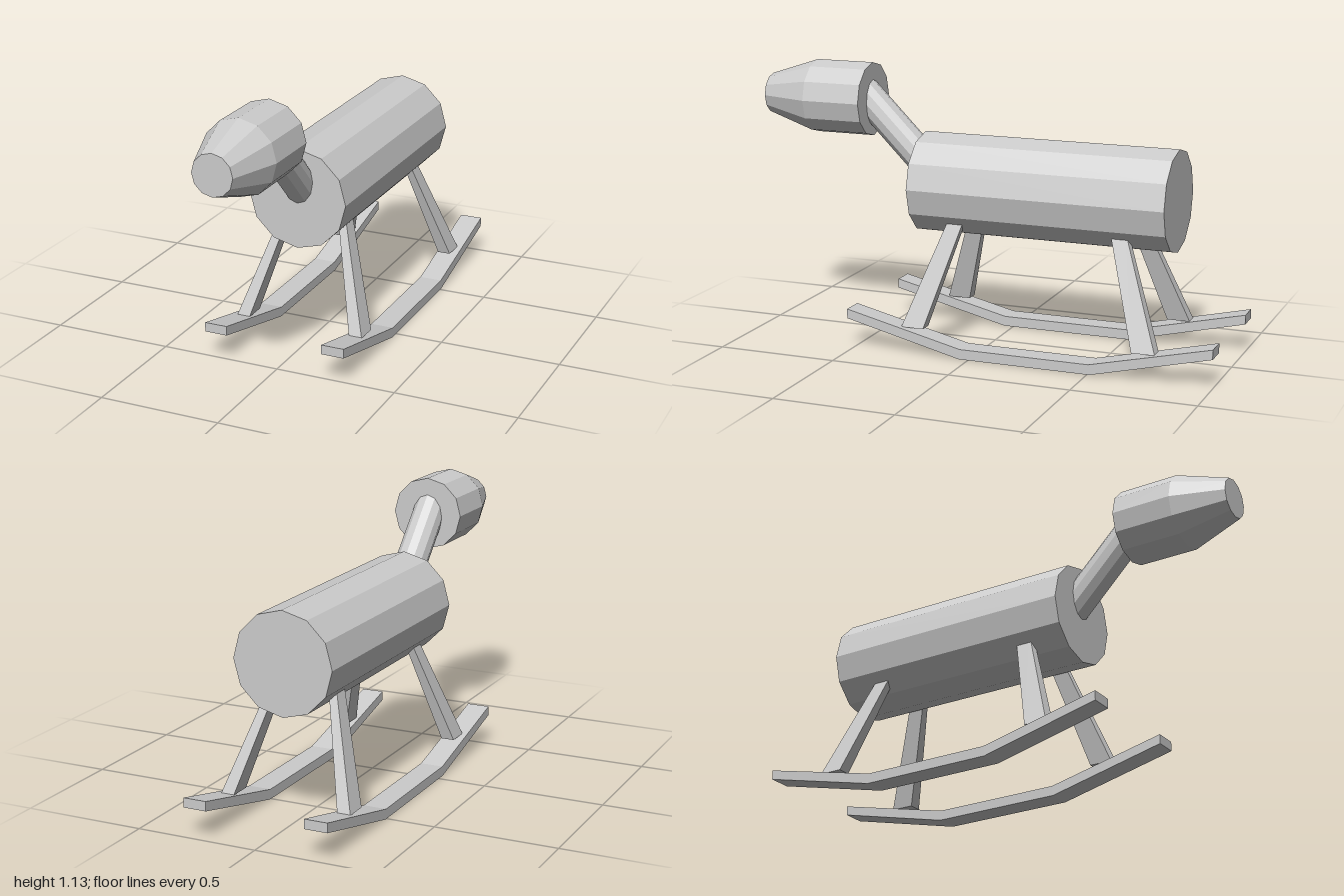
import * as THREE from 'three';

const material = new THREE.MeshStandardMaterial({ color: 0xcccccc, flatShading: true });

function add(parent, name, geometry) {
  const mesh = new THREE.Mesh(geometry, material);
  mesh.name = name;
  parent.add(mesh);
  return mesh;
}

// Twelve-sided drum lying along z
function drum(rFront, rBack, zFront, zBack, y) {
  return new THREE.CylinderGeometry(rFront, rBack, zFront - zBack, 12)
    .rotateX(Math.PI / 2)
    .translate(0, y, (zFront + zBack) / 2);
}

// Tapered post between two horizontal rectangles [x0, x1, z0, z1]
function post(bottom, top, yBottom, yTop) {
  const geometry = new THREE.BoxGeometry(1, 1, 1);
  const p = geometry.attributes.position;
  for (let i = 0; i < p.count; i++) {
    const upper = p.getY(i) > 0;
    const r = upper ? top : bottom;
    p.setXYZ(i, p.getX(i) < 0 ? r[0] : r[1], upper ? yTop : yBottom, p.getZ(i) < 0 ? r[2] : r[3]);
  }
  geometry.computeVertexNormals();
  return geometry;
}

// Bent runner, drawn as a (z, y) outline and extruded across x
function runner(xInner, xOuter) {
  const outline = [
    [0.53, 0.118], [0.53, 0.157], [0.035, 0.041], [-0.505, 0.041],
    [-1, 0.157], [-1, 0.118], [-0.51, 0], [0.04, 0],
  ].map(([z, y]) => new THREE.Vector2(z, y));
  return new THREE.ExtrudeGeometry(new THREE.Shape(outline), { depth: xOuter - xInner, bevelEnabled: false })
    .rotateY(-Math.PI / 2)
    .translate(xOuter, 0, 0);
}

export function createModel() {
  const model = new THREE.Group();
  model.name = 'rockingAnimal';

  add(model, 'body', drum(0.207, 0.207, 0.305, -0.77, 0.65));

  // Neck slants up at 45 degrees, its ends buried in body and head
  const neck = add(model, 'neck', new THREE.CylinderGeometry(0.067, 0.067, 0.54, 12));
  neck.rotation.x = Math.PI / 4;
  neck.position.set(0, 0.843, 0.422);

  // Head: straight back half and tapering muzzle, as one closed lathe
  const profile = [[0, 0.54], [0.152, 0.54], [0.152, 0.79], [0.083, 1], [0, 1]]
    .map(([r, z]) => new THREE.Vector2(r, z));
  add(model, 'head', new THREE.LatheGeometry(profile, 12).rotateX(Math.PI / 2).translate(0, 0.975, 0));

  // Legs and runners, mirrored by swapping the x limits
  for (const [side, s] of [['left', 1], ['right', -1]]) {
    const span = (a, b) => (s > 0 ? [a, b] : [-b, -a]);
    const foot = span(0.221, 0.276);
    const hip = span(0.1, 0.132);
    add(model, side + 'FrontLeg', post([...foot, 0.205, 0.3], [...hip, 0.077, 0.141], 0.1, 0.55));
    add(model, side + 'BackLeg', post([...foot, -0.765, -0.67], [...hip, -0.594, -0.53], 0.1, 0.55));
    add(model, side + 'Runner', runner(...span(0.205, 0.3)));
  }
  return model;
}
